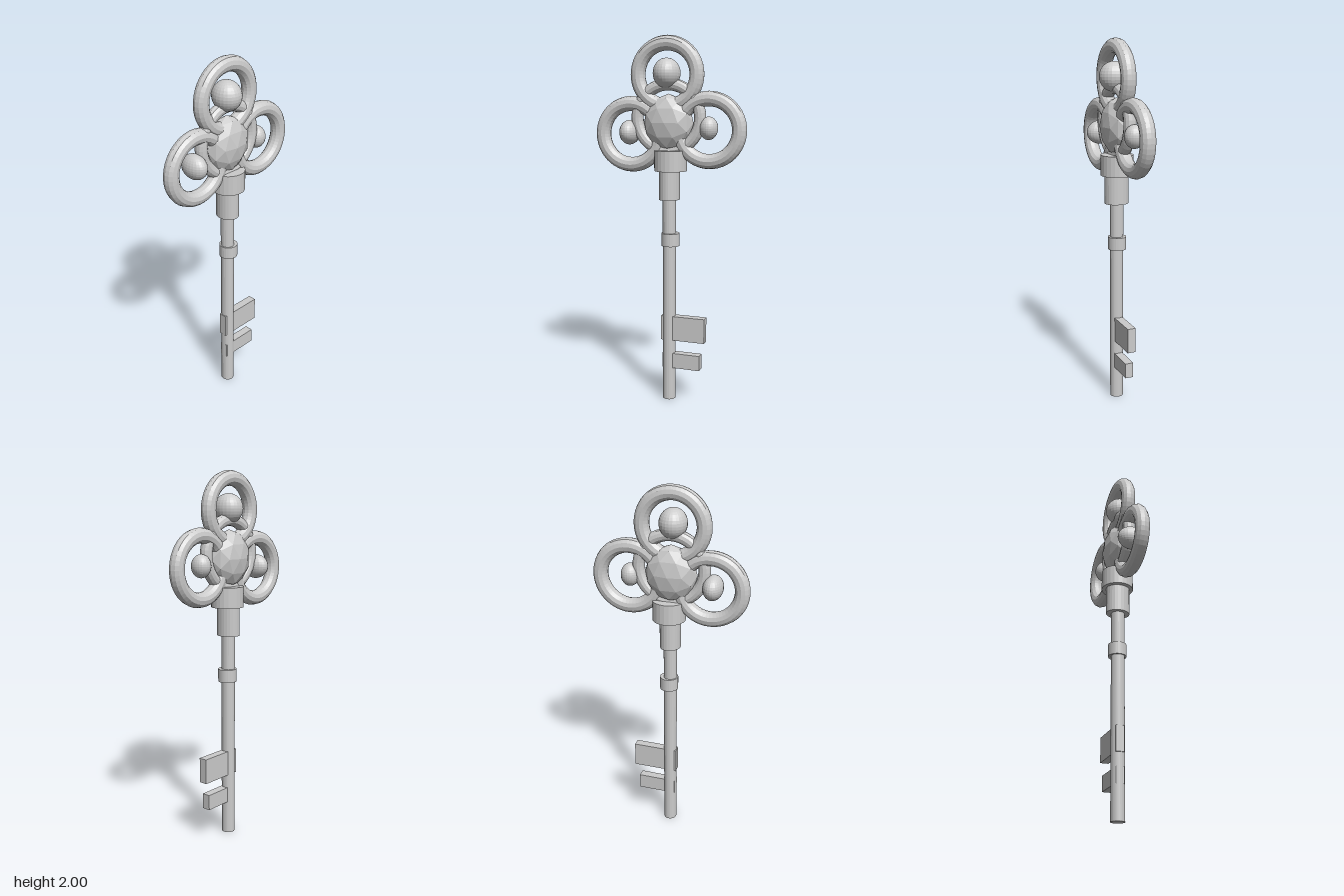
import * as THREE from 'three';

export function createModel() {
  const key = new THREE.Group();
  key.name = 'ornateKey';
  const metal = new THREE.MeshStandardMaterial({ color: 0xcccccc, flatShading: true });

  const add = (name, geometry, x, y, z, parent = key) => {
    const mesh = new THREE.Mesh(geometry, metal);
    mesh.name = name;
    mesh.position.set(x, y, z);
    parent.add(mesh);
    return mesh;
  };

  // Upright, slightly oval cylinder between two heights
  const post = (name, y0, y1, rx, rz, z = 0) => {
    const mesh = add(name, new THREE.CylinderGeometry(1, 1, y1 - y0, 24), 0, (y0 + y1) / 2, z);
    mesh.scale.set(rx, 1, rz);
  };

  // Ring lying in the y-z plane
  const ring = (name, major, tube, y, z, parent) =>
    add(name, new THREE.TorusGeometry(major, tube, 12, 48).rotateY(Math.PI / 2), 0, y, z, parent);

  // Stem and collars
  post('shaft', 0, 1.32, 0.037, 0.036);
  post('shaftBand', 0.88, 0.95, 0.05, 0.05, -0.007);
  post('lowerCollar', 1.135, 1.29, 0.066, 0.056);
  post('upperCollar', 1.29, 1.4, 0.088, 0.088, -0.007);

  // Teeth pass through the shaft and point to the back
  const tooth = (name, y0, y1, zFront, zBack, x) =>
    add(name, new THREE.BoxGeometry(0.046, y1 - y0, zFront - zBack), x, (y0 + y1) / 2, (zFront + zBack) / 2);
  tooth('upperTooth', 0.345, 0.483, 0.04, -0.208, 0);
  tooth('lowerTooth', 0.185, 0.27, 0.032, -0.182, 0.002);

  // Trefoil bow: each lobe is a ring with a bead floating in it
  const lobes = [
    { name: 'topLobe', y: 1.798, z: 0.012, bead: [0.008, 1.806, 0.012], r: [0.081, 0.079, 0.073] },
    { name: 'frontLobe', y: 1.483, z: 0.216, bead: [-0.001, 1.493, 0.227], r: [0.08, 0.066, 0.053] },
    { name: 'backLobe', y: 1.51, z: -0.22, bead: [-0.006, 1.52, -0.216], r: [0.054, 0.061, 0.05] },
  ];
  for (const { name, y, z, bead, r } of lobes) {
    const lobe = new THREE.Group();
    lobe.name = name;
    key.add(lobe);
    ring('lobeRing', 0.164, 0.04, y, z, lobe);
    add('lobeBead', new THREE.SphereGeometry(1, 24, 16), ...bead, lobe).scale.set(...r);
  }

  // Central setting and faceted gem
  ring('gemSetting', 0.176, 0.033, 1.573, 0.005);
  add('gem', new THREE.IcosahedronGeometry(1, 1), -0.002, 1.547, 0.005).scale.set(0.08, 0.152, 0.14);

  return key;
}
